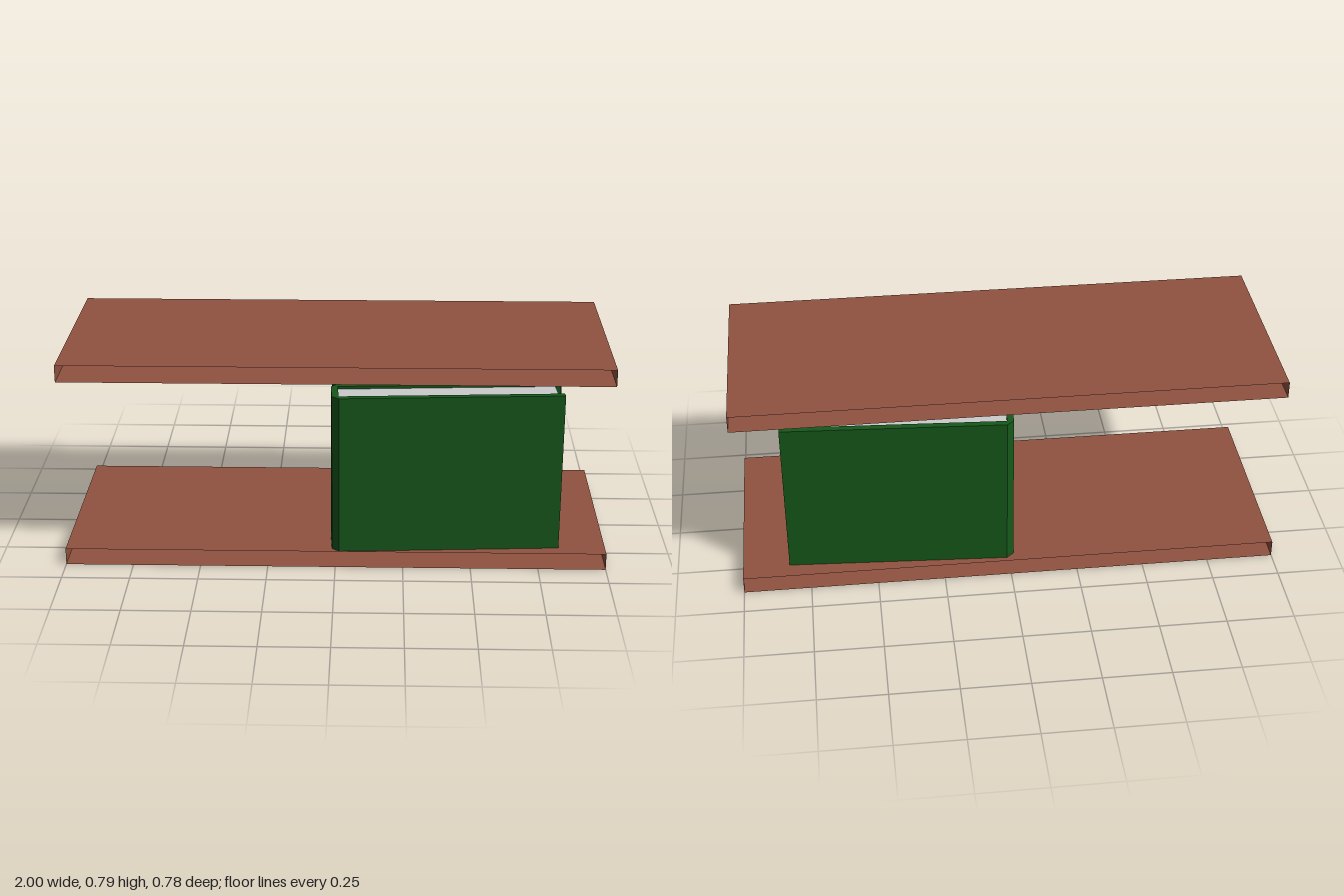
import * as THREE from 'three';

const wood = new THREE.MeshStandardMaterial({ color: 0x915240, side: THREE.DoubleSide });
const green = new THREE.MeshStandardMaterial({ color: 0x17591b, side: THREE.DoubleSide });
const paper = new THREE.MeshStandardMaterial({ color: 0xcccccc });

const LENGTH = 0.84, HEIGHT = 0.604, BOARD = 0.025;

function addMesh(parent, name, geometry, material) {
  const mesh = new THREE.Mesh(geometry, material);
  mesh.name = name;
  parent.add(mesh);
  return mesh;
}

// Shelf board: top, bottom and ends only, open along the front and back
function shelf(parent, name, y) {
  const geometry = new THREE.BoxGeometry(2, 0.063, 0.78);
  geometry.setIndex(Array.from(geometry.index.array.slice(0, 24)));
  geometry.clearGroups();
  addMesh(parent, name, geometry, wood).position.y = y;
}

// Book standing upright, origin at the bottom middle of its open edge
function book(name, thickness) {
  const group = new THREE.Group();
  group.name = name;
  const t = thickness / 2, inner = t - BOARD, bevel = 0.025;

  // U-shaped cover with a bevelled spine
  const outline = [
    [0, t], [-LENGTH + bevel, t], [-LENGTH, t - bevel],
    [-LENGTH, -t + bevel], [-LENGTH + bevel, -t], [0, -t],
    [0, -inner], [-LENGTH + BOARD, -inner], [-LENGTH + BOARD, inner], [0, inner],
  ].map(([x, y]) => new THREE.Vector2(x, y));
  const cover = new THREE.ExtrudeGeometry(new THREE.Shape(outline), { depth: HEIGHT, bevelEnabled: false });
  cover.rotateX(-Math.PI / 2);
  addMesh(group, 'cover', cover, green);

  // Page block, set slightly inside the cover
  const inset = 0.01, recess = 0.02, pageLength = LENGTH - BOARD - recess;
  const pages = new THREE.BoxGeometry(pageLength, HEIGHT - 1.4 * inset, inner * 2 - 0.002);
  addMesh(group, 'pages', pages, paper)
    .position.set(-recess - pageLength / 2, HEIGHT / 2 - 0.3 * inset, 0);
  return group;
}

export function createModel() {
  const model = new THREE.Group();
  model.name = 'bookshelf';

  shelf(model, 'lowerShelf', 0.0315);
  shelf(model, 'upperShelf', 0.7535);

  // Thickness, base height, depth position, lean and turn of each book
  const books = [
    [0.15, 0.063, 0.265, 0, 0.058],
    [0.15, 0.063, 0.116, 0, 0.035],
    [0.147, 0.067, -0.082, 0.078, 0.033],
    [0.165, 0.063, -0.243, 0, -0.055],
  ];
  books.forEach(([thickness, y, z, lean, turn], i) => {
    const b = book(`book${i + 1}`, thickness);
    b.position.set(0.823, y, z);
    b.rotation.set(lean, turn, 0);
    model.add(b);
  });
  return model;
}
